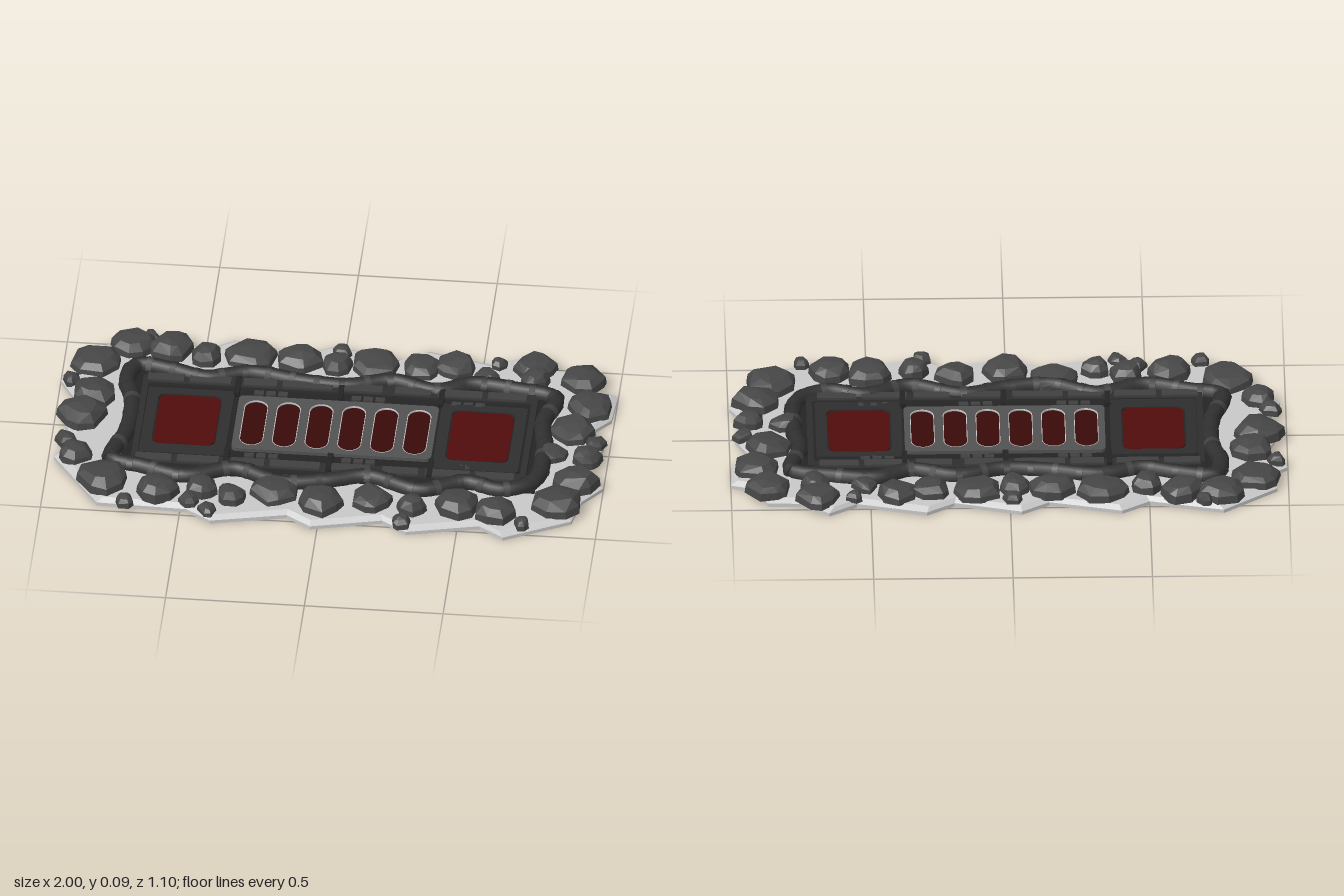
import * as THREE from 'three';
import { ConvexGeometry } from 'three/addons/geometries/ConvexGeometry.js';

const mat = (name, color, extra = {}) => new THREE.MeshStandardMaterial({ name, color, ...extra });

// Small seeded generator for the rock shapes
let seed = 7;
const rand = (a, b) => {
  seed = (seed * 16807) % 2147483647;
  return a + (b - a) * (seed / 2147483647);
};

// Rounded rectangle in plan, written into a Shape or Path
function roundRect(path, x, z, w, d, r) {
  const X = w / 2 - r, Z = d / 2 - r, q = Math.PI / 2;
  path.moveTo(x + w / 2, z - Z);
  path.absarc(x + X, z + Z, r, 0, q);
  path.absarc(x - X, z + Z, r, q, 2 * q);
  path.absarc(x - X, z - Z, r, 2 * q, 3 * q);
  path.absarc(x + X, z - Z, r, 3 * q, 4 * q);
  path.closePath();
  return path;
}

// Extrude a plan shape (shape y becomes world z) between two heights
function slab(shape, y0, y1) {
  const g = new THREE.ExtrudeGeometry(shape, { depth: y1 - y0, bevelEnabled: false, curveSegments: 8 });
  return g.rotateX(Math.PI / 2).translate(0, y1, 0);
}

// Faceted boulder: wide foot, bulging waist and a smaller tilted crown
function rockGeometry(r, h) {
  const pts = [], n = r > 0.05 ? 8 : 6;
  const sx = rand(0.92, 1.06), sz = rand(0.92, 1.06), turn = rand(0, 6.28);
  const tiltX = rand(-0.12, 0.12), tiltZ = rand(-0.12, 0.12);
  for (let i = 0; i < n; i++) {
    const a = turn + ((i + rand(-0.3, 0.3)) / n) * Math.PI * 2;
    const k = rand(0.9, 1.1) * r, c = Math.cos(a) * sx, s = Math.sin(a) * sz;
    const t = k * rand(0.5, 0.72);
    pts.push(new THREE.Vector3(c * k, 0, s * k));
    pts.push(new THREE.Vector3(c * k * 0.95, h * rand(0.4, 0.6), s * k * 0.95));
    pts.push(new THREE.Vector3(c * t, h * 0.88 + t * (c * tiltX + s * tiltZ), s * t));
  }
  pts.push(new THREE.Vector3(rand(-0.2, 0.2) * r, h, rand(-0.2, 0.2) * r));
  return new ConvexGeometry(pts);
}

export function createModel() {
  const model = new THREE.Group();
  const stone = mat('pale stone', 0xc8c8c8, { flatShading: true });
  const rock = mat('rock grey', 0x464646, { flatShading: true });
  const hose = mat('hose charcoal', 0x303030);
  const band = mat('band grey', 0x404040);
  const dark = mat('dark metal', 0x242424);
  const metal = mat('panel metal', 0x2e2e2e);
  const grey = mat('grille grey', 0x525252);
  const red = mat('red panel', 0x520c0c);
  const deepRed = mat('deep red', 0x3a0a0a);

  const add = (name, geometry, material, parent = model) => {
    const m = new THREE.Mesh(geometry, material);
    m.name = name;
    parent.add(m);
    return m;
  };
  const group = (name) => {
    const g = new THREE.Group();
    g.name = name;
    model.add(g);
    return g;
  };
  // Box given by its plan centre, plan size and height range
  const box = (name, x, z, w, d, y0, y1, material, parent) =>
    add(name, new THREE.BoxGeometry(w, y1 - y0, d).translate(x, (y0 + y1) / 2, z), material, parent);

  // Jagged base: saw-toothed outline with a chamfered upper edge
  const outline = [[-0.96, -0.4], [-0.765, -0.55]];
  for (const x of [-0.4, -0.04, 0.3, 0.65]) outline.push([x - 0.1, -0.485], [x, -0.55]);
  outline.push([0.75, -0.48], [0.87, -0.475], [0.92, -0.37], [1, -0.345], [0.99, -0.2], [0.93, -0.13],
    [0.98, -0.03], [0.93, 0.08], [1, 0.21], [0.93, 0.3], [0.905, 0.42]);
  for (const x of [0.67, 0.32, -0.025, -0.385]) outline.push([x, 0.54], [x - 0.09, 0.48]);
  outline.push([-0.8, 0.47], [-0.98, 0.21], [-0.93, 0.08], [-0.97, -0.02], [-0.93, -0.13], [-1, -0.25], [-0.92, -0.31]);
  const baseGeo = new THREE.ExtrudeGeometry(
    new THREE.Shape(outline.map(([x, z]) => new THREE.Vector2(x, z))),
    { depth: 0.027, steps: 2, bevelEnabled: false });
  const p = baseGeo.attributes.position;
  for (let i = 0; i < p.count; i++) {
    if (p.getZ(i) < 0.001) p.setXY(i, p.getX(i) * 0.975, p.getY(i) * 0.96);
  }
  baseGeo.rotateX(Math.PI / 2).translate(0, 0.027, 0);
  baseGeo.computeVertexNormals();
  add('base', baseGeo, stone);

  // Boulders around the rim: x, z, radius
  const backRocks = [[-0.88, -0.35, 0.09], [-0.76, -0.46, 0.085], [-0.7, -0.51, 0.035], [-0.62, -0.45, 0.08],
    [-0.49, -0.41, 0.06], [-0.33, -0.44, 0.095], [-0.15, -0.42, 0.08], [-0.01, -0.49, 0.035], [-0.02, -0.41, 0.06],
    [0.115, -0.43, 0.09], [0.28, -0.42, 0.075], [0.41, -0.44, 0.08], [0.52, -0.39, 0.05], [0.56, -0.47, 0.032],
    [0.69, -0.46, 0.085], [0.7, -0.385, 0.06], [0.87, -0.4, 0.08]];
  const sideRocks = [[0.91, -0.25, 0.085], [0.86, -0.1, 0.085], [0.95, -0.03, 0.038], [0.8, 0.05, 0.055],
    [0.93, 0.07, 0.055], [0.9, 0.21, 0.085], [0.84, 0.34, 0.1], [-0.9, 0.21, 0.065], [-0.945, 0.13, 0.042],
    [-0.9, -0.03, 0.09], [-0.87, -0.16, 0.08], [-0.96, -0.23, 0.034]];
  const frontRocks = [[0.73, 0.48, 0.032], [0.63, 0.42, 0.08], [0.49, 0.39, 0.085], [0.33, 0.42, 0.055],
    [0.3, 0.51, 0.035], [0.18, 0.39, 0.08], [0, 0.42, 0.08], [-0.17, 0.36, 0.085], [-0.32, 0.42, 0.055],
    [-0.4, 0.5, 0.038], [-0.47, 0.45, 0.038], [-0.43, 0.38, 0.06], [-0.59, 0.4, 0.085], [-0.7, 0.48, 0.035],
    [-0.79, 0.35, 0.1]];
  const rocks = group('rocks');
  for (const [x, z, r] of [...backRocks, ...sideRocks, ...frontRocks]) {
    const h = r > 0.05 ? rand(0.046, 0.064) : rand(0.028, 0.042);
    add('rock', rockGeometry(r, h), rock, rocks).position.set(x, 0.023, z);
  }

  // Dark footing under the machinery
  box('footing', 0.01, -0.015, 1.5, 0.6, 0.015, 0.031, dark);

  // Wavy hose running around the panel
  const loop = [[-0.73, -0.13], [-0.76, -0.25], [-0.73, -0.34], [-0.6, -0.32], [-0.48, -0.285], [-0.32, -0.33],
    [-0.13, -0.295], [0.03, -0.285], [0.19, -0.33], [0.35, -0.285], [0.48, -0.34], [0.64, -0.32], [0.78, -0.28],
    [0.75, -0.13], [0.77, 0.03], [0.75, 0.22], [0.64, 0.285], [0.51, 0.25], [0.35, 0.315], [0.16, 0.25],
    [0, 0.295], [-0.16, 0.315], [-0.32, 0.25], [-0.5, 0.31], [-0.66, 0.265], [-0.77, 0.23], [-0.73, 0.05]];
  const path = new THREE.CatmullRomCurve3(loop.map(([x, z]) => new THREE.Vector3(x, 0.034, z)), true);
  add('hose', new THREE.TubeGeometry(path, 160, 0.031, 10, true), hose);
  const bands = group('hoseBands');
  const up = new THREE.Vector3(0, 1, 0);
  for (let i = 0; i < 48; i++) {
    const b = add('hoseBand', new THREE.CylinderGeometry(0.033, 0.033, 0.022, 10), i % 3 ? hose : band, bands);
    b.position.copy(path.getPointAt(i / 48));
    b.quaternion.setFromUnitVectors(up, path.getTangentAt(i / 48));
  }

  // Main deck and the two end panels with red plates
  box('deck', 0.01, -0.015, 1.4, 0.45, 0.025, 0.037, dark);
  for (const x of [-0.522, 0.535]) {
    const frame = roundRect(new THREE.Shape(), x, -0.005, 0.31, 0.39, 0.01);
    frame.holes.push(roundRect(new THREE.Path(), x, -0.015, 0.23, 0.3, 0.03));
    add('endFrame', slab(frame, 0.035, 0.046), metal);
    add('redPlate', slab(roundRect(new THREE.Shape(), x, -0.015, 0.22, 0.29, 0.03), 0.035, 0.044), red);
  }

  // Central grille with six long slots, each with a fine pale rim
  const grille = roundRect(new THREE.Shape(), 0.012, -0.015, 0.72, 0.32, 0.02);
  const slots = group('slots');
  for (let i = 0; i < 6; i++) {
    const x = -0.281 + i * 0.1176, z = -0.013;
    grille.holes.push(roundRect(new THREE.Path(), x, z, 0.084, 0.266, 0.0419));
    add('slotGlow', slab(roundRect(new THREE.Shape(), x, z, 0.083, 0.265, 0.0414), 0.036, 0.043), deepRed, slots);
    const rim = roundRect(new THREE.Shape(), x, z, 0.086, 0.268, 0.0429);
    rim.holes.push(roundRect(new THREE.Path(), x, z, 0.081, 0.263, 0.0404));
    add('slotRim', slab(rim, 0.045, 0.0505), stone, slots);
  }
  add('grille', slab(grille, 0.035, 0.05), grey);

  // Rails of blocks along the back and front of the deck
  const rails = group('rails');
  const blocks = [[-0.62, 0.13], [-0.46, 0.15], [-0.28, 0.12], [-0.11, 0.18], [0.09, 0.14], [0.27, 0.13],
    [0.44, 0.16], [0.61, 0.14]];
  for (const [z, inward] of [[-0.255, 1], [0.225, -1]]) {
    box('rail', 0.01, z, 1.4, 0.055, 0.025, 0.046, metal, rails);
    for (const [x, w] of blocks) box('railBlock', x, z, w, 0.04, 0.03, 0.054, band, rails);
    // Small studs between rail and grille
    for (const start of [-0.28, 0.07, 0.43]) {
      for (let i = 0; i < 3; i++) {
        box('stud', start + i * 0.043, z + inward * 0.052, 0.034, 0.024, 0.03, 0.046, band, rails);
      }
    }
    // Clips across the rail
    for (const x of [-0.36, 0.012, 0.375]) box('clip', x, z + inward * 0.025, 0.02, 0.1, 0.03, 0.057, dark, rails);
  }
  // End bars closing the deck
  for (const x of [-0.69, 0.71]) box('endBar', x, -0.015, 0.022, 0.5, 0.025, 0.05, metal, rails);

  return model;
}
